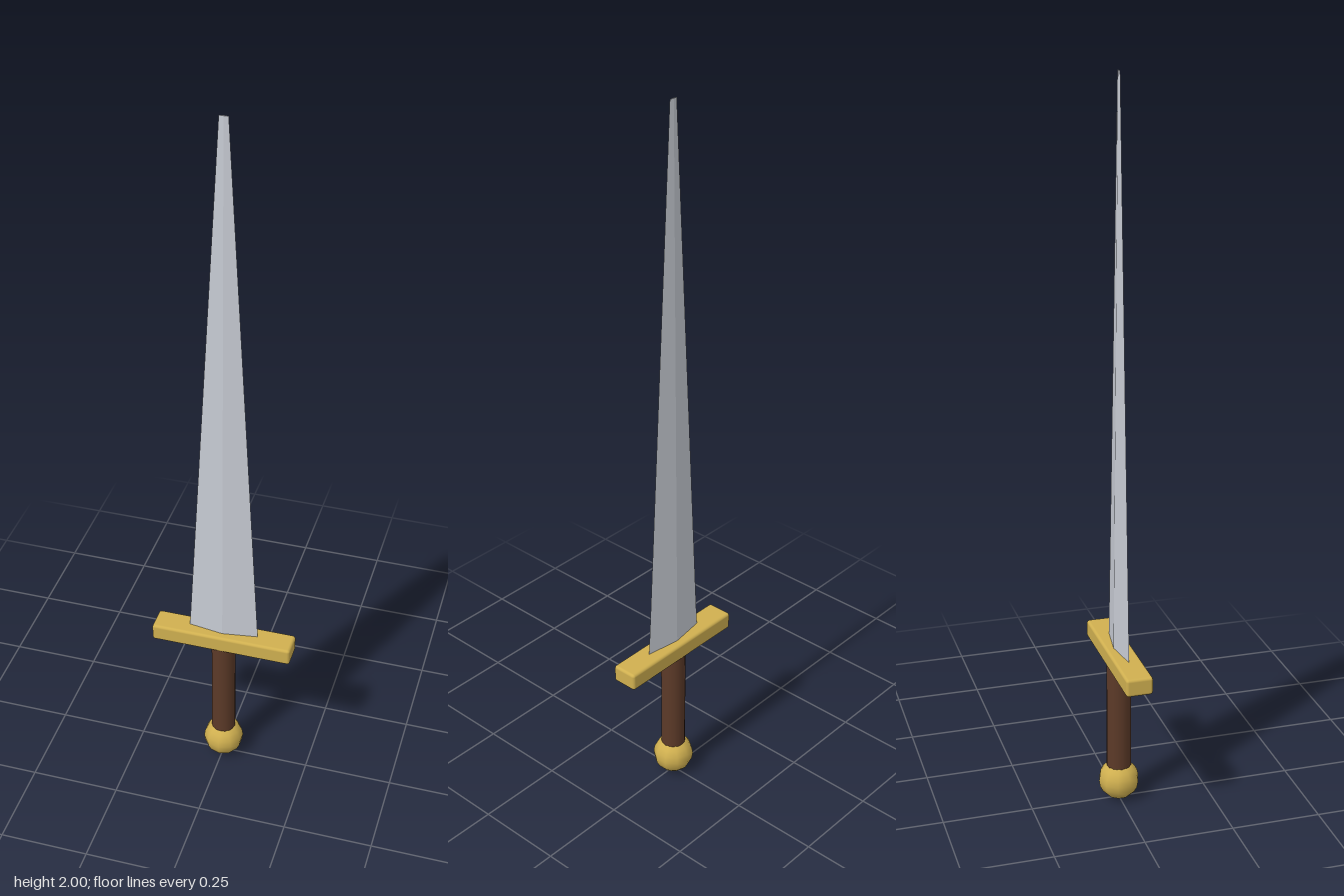
import * as THREE from 'three';
import { RoundedBoxGeometry } from 'three/addons/geometries/RoundedBoxGeometry.js';

export function createModel() {
  const sword = new THREE.Group();
  sword.name = 'sword';
  const steel = new THREE.MeshStandardMaterial({ color: 0xc8ccd4, flatShading: true });
  const brass = new THREE.MeshStandardMaterial({ color: 0xd0b050 });
  const leather = new THREE.MeshStandardMaterial({ color: 0x5c3a28 });

  function add(name, geometry, material, y) {
    const mesh = new THREE.Mesh(geometry, material);
    mesh.name = name;
    mesh.position.y = y;
    sword.add(mesh);
    return mesh;
  }

  // Tapering blade with a flattened diamond section and a small blunt tip
  const bladeBase = 0.44, bladeTip = 2;
  const blade = new THREE.CylinderGeometry(0.012, 0.1, bladeTip - bladeBase, 4);
  blade.scale(1, 1, 0.15);
  add('blade', blade, steel, (bladeBase + bladeTip) / 2);

  // Crossguard with softened edges
  add('crossguard', new RoundedBoxGeometry(0.4, 0.05, 0.074, 2, 0.008), brass, 0.435);

  // Round grip
  add('grip', new THREE.CylinderGeometry(0.034, 0.034, 0.33, 16), leather, 0.255);

  // Ten-sided ball pommel with a corner facing front
  const pommel = new THREE.SphereGeometry(0.057, 10, 10);
  pommel.rotateY(Math.PI / 2);
  add('pommel', pommel, brass, 0.057);

  return sword;
}
